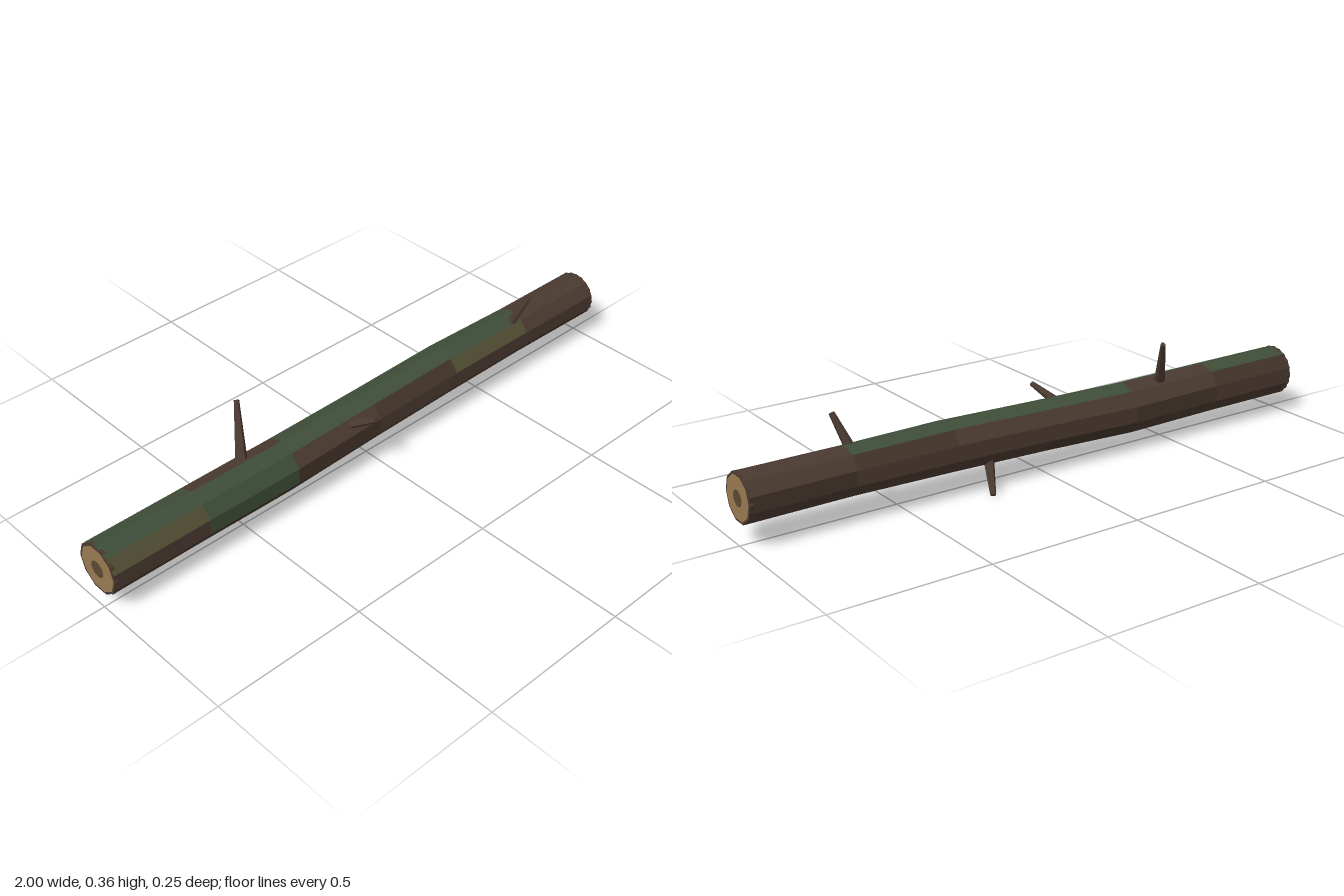
import * as THREE from 'three';

const SIDES = 10;
// bark rings: x, centre y, centre z, radius
const RINGS = [
  [-0.997, 0.137, -0.011, 0.083],
  [-0.667, 0.136, -0.011, 0.083],
  [-0.333, 0.133, -0.012, 0.084],
  [0, 0.142, -0.011, 0.081],
  [0.333, 0.15, -0.01, 0.081],
  [0.667, 0.149, -0.007, 0.076],
  [0.997, 0.147, -0.006, 0.077],
];
// panels carrying moss, written as segment:side (side 0 is just in front of the crest)
const MOSS = ['0:9', '0:0', '1:0', '1:1', '1:2', '2:9', '2:0', '3:9', '3:0', '4:9', '4:0'];
const LICHEN = ['0:1', '4:1'];

const material = (color) => new THREE.MeshStandardMaterial({ color, flatShading: true });

function ringPoint([x, y, z, r], side) {
  const a = Math.PI / 2 - (side * Math.PI * 2) / SIDES;
  return [x, y + r * Math.sin(a), z + r * Math.cos(a)];
}

// short disc whose axis runs along x
function disc(name, x, y, z, radius, thickness, mat) {
  const geo = new THREE.CylinderGeometry(radius, radius, thickness, SIDES).rotateZ(Math.PI / 2);
  const mesh = new THREE.Mesh(geo, mat);
  mesh.position.set(x, y, z);
  mesh.name = name;
  return mesh;
}

// tapered broken branch between two points
function branch(from, to, r0, r1, mat) {
  const a = new THREE.Vector3(...from);
  const b = new THREE.Vector3(...to);
  const dir = b.clone().sub(a);
  const mesh = new THREE.Mesh(new THREE.CylinderGeometry(r1, r0, dir.length(), 6), mat);
  mesh.position.copy(a).add(b).multiplyScalar(0.5);
  mesh.quaternion.setFromUnitVectors(new THREE.Vector3(0, 1, 0), dir.normalize());
  mesh.name = 'branchStub';
  return mesh;
}

export function createModel() {
  const group = new THREE.Group();
  group.name = 'fallenLog';
  const bark = material(0x4a3a30);
  const darkBark = material(0x43342a);
  const wood = material(0x9a7a52);
  const core = material(0x5c4833);

  // trunk panels sorted by surface colour
  const panels = { bark: [], darkBark: [], moss: [], lichen: [] };
  for (let i = 0; i < RINGS.length - 1; i++) {
    for (let j = 0; j < SIDES; j++) {
      const key = `${i}:${j}`;
      let kind = (i * 3 + j * 7) % 4 === 0 ? 'darkBark' : 'bark';
      if (MOSS.includes(key)) kind = 'moss';
      if (LICHEN.includes(key)) kind = 'lichen';
      const a = ringPoint(RINGS[i], j);
      const b = ringPoint(RINGS[i + 1], j);
      const c = ringPoint(RINGS[i + 1], j + 1);
      const d = ringPoint(RINGS[i], j + 1);
      panels[kind].push(...a, ...d, ...c, ...a, ...c, ...b);
    }
  }
  const mats = { bark, darkBark, moss: material(0x3e4d38), lichen: material(0x524e35) };
  for (const kind in panels) {
    const geo = new THREE.BufferGeometry();
    geo.setAttribute('position', new THREE.Float32BufferAttribute(panels[kind], 3));
    geo.computeVertexNormals();
    const mesh = new THREE.Mesh(geo, mats[kind]);
    mesh.name = `${kind}Panels`;
    group.add(mesh);
  }

  // cut ends: bark rim, pale wood and dark heart
  for (const s of [-1, 1]) {
    const [, y, z, r] = RINGS[s < 0 ? 0 : RINGS.length - 1];
    group.add(disc('barkRim', s * 0.992, y, z, r * 0.99, 0.012, bark));
    group.add(disc('cutWood', s * 0.994, y, z, r * 0.89, 0.01, wood));
    group.add(disc('heartwood', s * 0.995, y, z, r * 0.33, 0.01, core));
  }

  // broken branches
  group.add(branch([-0.47, 0.19, -0.028], [-0.411, 0.356, -0.111], 0.019, 0.008, bark));
  group.add(branch([0.632, 0.195, 0.017], [0.667, 0.304, 0.062], 0.017, 0.009, bark));
  group.add(branch([-0.107, 0.185, 0.032], [-0.071, 0.231, 0.121], 0.016, 0.008, bark));
  group.add(branch([0.205, 0.096, -0.045], [0.24, 0.008, -0.12], 0.017, 0.009, bark));
  return group;
}
